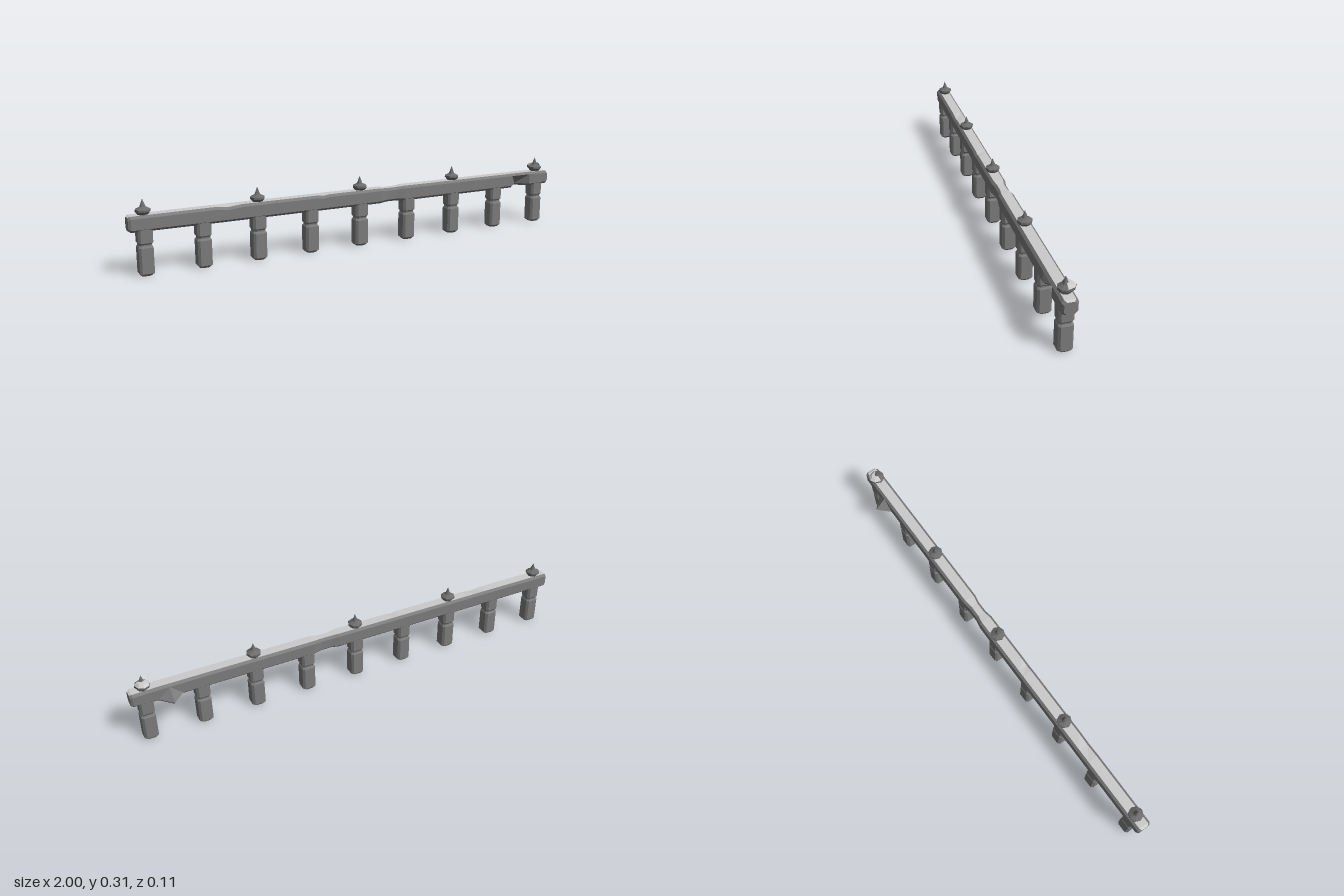
import * as THREE from 'three';

const MID_Z = 0.026;
const paint = (color) => new THREE.MeshStandardMaterial({
  color, flatShading: true, side: THREE.DoubleSide,
});
const darkStone = paint(0x7c7c7c);
const finialStone = paint(0x6c6c6c);
const paleStone = paint(0xcccccc);

// Corners of a chamfered rectangle, counter-clockwise in (u, v); side 0 faces +u
function octagon(hu, hv, c) {
  return [
    [hu, -hv + c], [hu, hv - c], [hu - c, hv], [-hu + c, hv],
    [-hu, hv - c], [-hu, -hv + c], [-hu + c, -hv], [hu - c, -hv],
  ];
}

// Skin the chosen sides of a list of rings of [x, y, z], with optional end caps.
// Quads of the segment numbered "flipped" are split along their other diagonal.
function loft(rings, sides, capped, flipped = -1) {
  const n = rings[0].length;
  const index = [];
  for (let i = 0; i < rings.length - 1; i++) {
    for (const j of sides) {
      const a = i * n + j, b = i * n + (j + 1) % n;
      if (i === flipped) index.push(a, b, a + n, b, b + n, a + n);
      else index.push(a, b, b + n, a, b + n, a + n);
    }
  }
  const last = (rings.length - 1) * n;
  for (let j = 1; capped && j < n - 1; j++) {
    index.push(0, j + 1, j, last, last + j, last + j + 1);
  }
  const geometry = new THREE.BufferGeometry();
  geometry.setAttribute('position', new THREE.Float32BufferAttribute(rings.flat(2), 3));
  geometry.setIndex(index);
  const flat = geometry.toNonIndexed();
  flat.computeVertexNormals();
  return flat;
}

// Rail sections with worn spots and one lower edge knocked backwards
function railRings() {
  // x, half height, half depth, backward shift of the lower edge, drop of the front top edge
  const sections = [
    [-1, 0.026, 0.024, 0, 0], [-0.99, 0.032, 0.031, 0, 0],
    [-0.66, 0.033, 0.031, 0, 0], [-0.6, 0.033, 0.031, 0, 0.006],
    [-0.54, 0.033, 0.031, 0, 0], [-0.21, 0.033, 0.031, 0, 0],
    [-0.18, 0.033, 0.031, 0, 0.004], [-0.15, 0.033, 0.031, 0, 0],
    [0.09, 0.033, 0.031, 0, 0], [0.125, 0.03, 0.025, 0, 0],
    [0.175, 0.03, 0.025, 0, 0], [0.21, 0.033, 0.031, 0, 0],
    [0.79, 0.033, 0.031, 0, 0], [0.84, 0.033, 0.031, 0.05, 0],
    [0.89, 0.033, 0.031, 0, 0],
    [0.99, 0.03, 0.031, 0, 0], [1, 0.025, 0.024, 0, 0],
  ];
  return sections.map(([x, hy, hz, shift, drop]) =>
    octagon(hy, hz, 0.01).map(([y, z]) => [
      x, 0.212 + y - (y > 0 && z > 0 ? drop : 0), MID_Z + z - (y < 0 ? shift : 0),
    ]));
}

// Square post with chamfered corners, a bevelled foot and a groove
function postGeometry() {
  const profile = [
    [0, 0.021], [0.01, 0.0295], [0.114, 0.0295], [0.122, 0.025],
    [0.127, 0.025], [0.134, 0.0295], [0.195, 0.0295],
  ];
  const rings = profile.map(([y, h]) =>
    octagon(h, h, 0.009).map(([z, x]) => [x, y, z]));
  return loft(rings, [0, 1, 2, 3, 4, 5, 6, 7], true);
}

// Faceted turning from [radius, height] points
function turned(points, segments, start = 0, sweep = Math.PI * 2) {
  return new THREE.LatheGeometry(
    points.map(([r, y]) => new THREE.Vector2(r, y)), segments, start, sweep);
}

export function createModel() {
  const group = new THREE.Group();
  const add = (name, geometry, material, x = 0, z = 0) => {
    const mesh = new THREE.Mesh(geometry, material);
    mesh.name = name;
    mesh.position.set(x, 0, z);
    group.add(mesh);
    return mesh;
  };

  // Dark rail body with a pale walking surface along the top
  const rings = railRings();
  add('rail', loft(rings, [1, 2, 3, 4, 5, 6, 7], true, 13), darkStone);
  add('railTop', loft(rings, [0], false), paleStone);

  // Nine posts, with a spiked finial over every second one
  const post = postGeometry();
  const finial = turned([
    [0, 0.235], [0.022, 0.24], [0.022, 0.246], [0.031, 0.256], [0.031, 0.264],
    [0.012, 0.274], [0, 0.306],
  ], 8);
  const postX = (i) => (i - 4) * 0.2345 + 0.002;
  for (let i = 0; i < 9; i++) {
    add('post', post, darkStone, postX(i), MID_Z);
    if (i % 2 === 0) add('finial', finial, finialStone, postX(i), MID_Z);
  }

  // The finial at the left end bulges towards the back, with a pale worn top
  const back = [4, Math.PI / 2, Math.PI];
  const bulge = turned([[0.022, 0.246], [0.039, 0.259], [0.039, 0.268]], ...back);
  const bulgeTop = turned([[0.039, 0.268], [0.026, 0.279], [0, 0.282]], ...back);
  add('finialBulge', bulge, finialStone, postX(8), MID_Z).scale.x = 0.8;
  add('finialBulgeTop', bulgeTop, paleStone, postX(8), MID_Z).scale.x = 0.8;
  return group;
}
